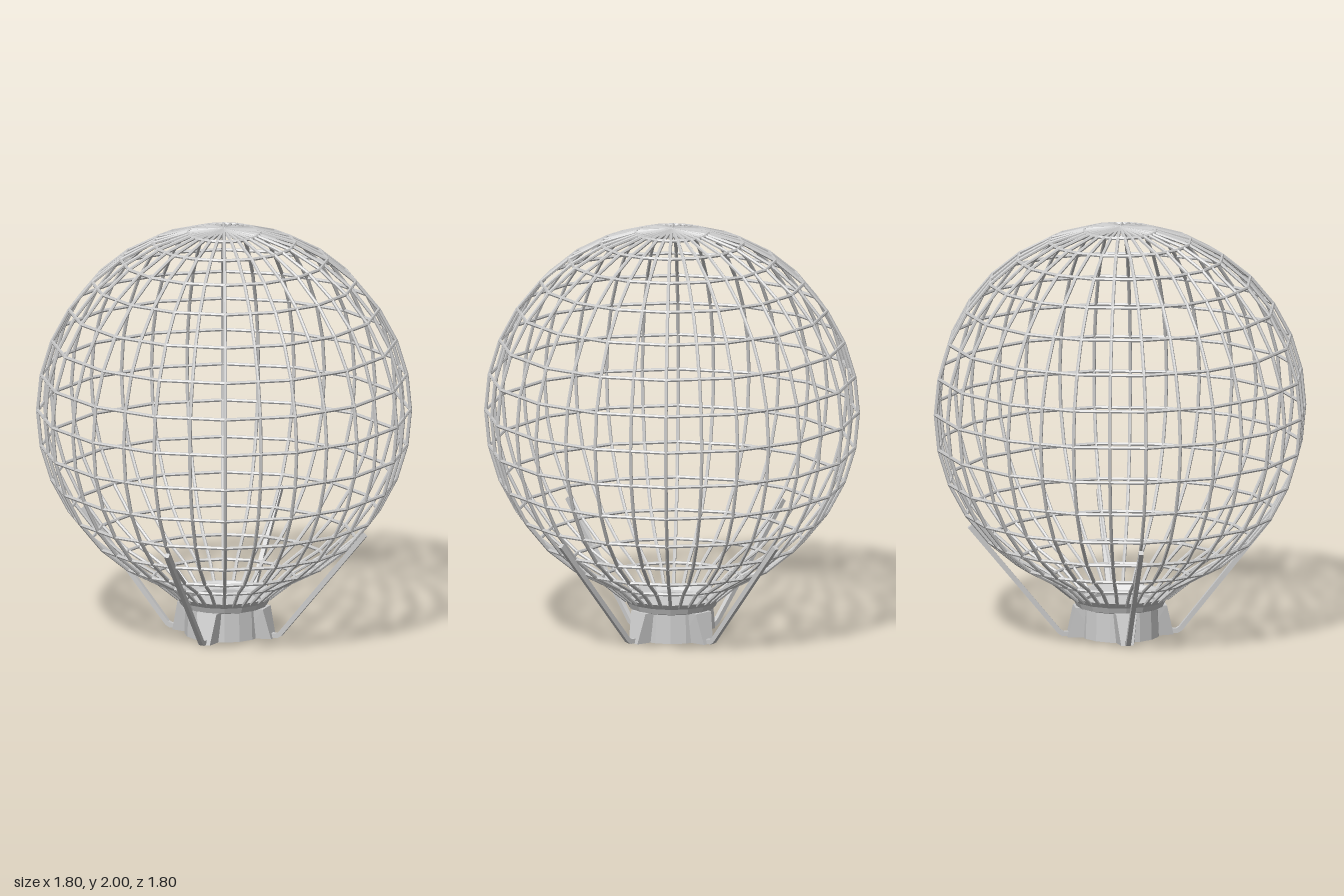
import * as THREE from 'three';
import { mergeGeometries } from 'three/addons/utils/BufferGeometryUtils.js';
import { ConvexGeometry } from 'three/addons/geometries/ConvexGeometry.js';

const R = 0.891, CENTER_Y = 1.1, WIRE = 0.0085, SIDES = 16, STEP = Math.PI / 16;

const material = new THREE.MeshStandardMaterial({
  color: 0xcccccc, flatShading: true, side: THREE.DoubleSide,
});

function part(name, geometry) {
  const mesh = new THREE.Mesh(geometry, material);
  mesh.name = name;
  return mesh;
}

// Round bar between two points
function bar(a, b) {
  const dir = b.clone().sub(a);
  const g = new THREE.CylinderGeometry(WIRE, WIRE, dir.length() + WIRE * 0.5, 6);
  g.applyQuaternion(new THREE.Quaternion().setFromUnitVectors(
    new THREE.Vector3(0, 1, 0), dir.normalize()));
  const mid = a.clone().add(b).multiplyScalar(0.5);
  return g.translate(mid.x, mid.y, mid.z);
}

// Sixteen-sided horizontal hoops, one per latitude step
function createHoops() {
  const hoops = [];
  for (let i = -6; i <= 7; i++) {
    const hoop = new THREE.TorusGeometry(R * Math.cos(i * STEP), WIRE, 6, SIDES);
    hoop.rotateX(Math.PI / 2).translate(0, CENTER_Y + R * Math.sin(i * STEP), 0);
    hoops.push(hoop);
  }
  return part('cageHoops', mergeGeometries(hoops));
}

// 32 ribs: on every hoop corner and halfway along every hoop side
function createRibs() {
  const profile = [[0.235, 0.19]];
  for (let i = -6; i <= 8; i++) {
    profile.push([R * Math.cos(i * STEP), CENTER_Y + R * Math.sin(i * STEP)]);
  }
  const bars = [];
  for (let k = 0; k < SIDES * 2; k++) {
    const angle = k * STEP;
    const squeeze = k % 2 ? Math.cos(STEP) : 1;
    const points = profile.map(([r, y]) => new THREE.Vector3(
      r * squeeze * Math.cos(angle), y, r * squeeze * Math.sin(angle)));
    for (let i = 1; i < points.length; i++) bars.push(bar(points[i - 1], points[i]));
  }
  return part('cageRibs', mergeGeometries(bars));
}

// Drum with a flared, dished collar
function createBase() {
  const profile = [
    [0, 0], [0.19, 0], [0.185, 0.14], [0.21, 0.148], [0.222, 0.175], [0.243, 0.2],
    [0.225, 0.2], [0.205, 0.175], [0.178, 0.17], [0.178, 0.155], [0, 0.155],
  ].map(([x, y]) => new THREE.Vector2(x, y));
  return part('base', new THREE.LatheGeometry(profile, SIDES));
}

// Tapered foot on the +x side
function createFoot() {
  const points = [];
  for (const s of [-1, 1]) {
    points.push(
      new THREE.Vector3(0.12, 0, s * 0.055), new THREE.Vector3(0.12, 0.147, s * 0.065),
      new THREE.Vector3(0.255, 0, s * 0.03), new THREE.Vector3(0.22, 0.147, s * 0.05));
  }
  return part('foot', new ConvexGeometry(points));
}

// Bent brace rising from the foot to the cage, on the +x side
function createBrace() {
  const outline = [
    [0.24, 0.003], [0.278, 0.003], [0.298, 0.014], [0.735, 0.545],
    [0.716, 0.561], [0.284, 0.033], [0.27, 0.025], [0.24, 0.025],
  ].map(([x, y]) => new THREE.Vector2(x, y));
  const width = 0.022;
  const g = new THREE.ExtrudeGeometry(new THREE.Shape(outline),
    { depth: width, bevelEnabled: false });
  return part('brace', g.translate(0, 0, -width / 2));
}

export function createModel() {
  const model = new THREE.Group();
  model.name = 'sphericalCageOnBase';
  model.add(createHoops(), createRibs(), createBase());

  // Four feet with braces, one on each side
  for (let i = 0; i < 4; i++) {
    const support = new THREE.Group();
    support.name = 'support';
    support.add(createFoot(), createBrace());
    support.rotation.y = i * Math.PI / 2;
    model.add(support);
  }
  return model;
}
